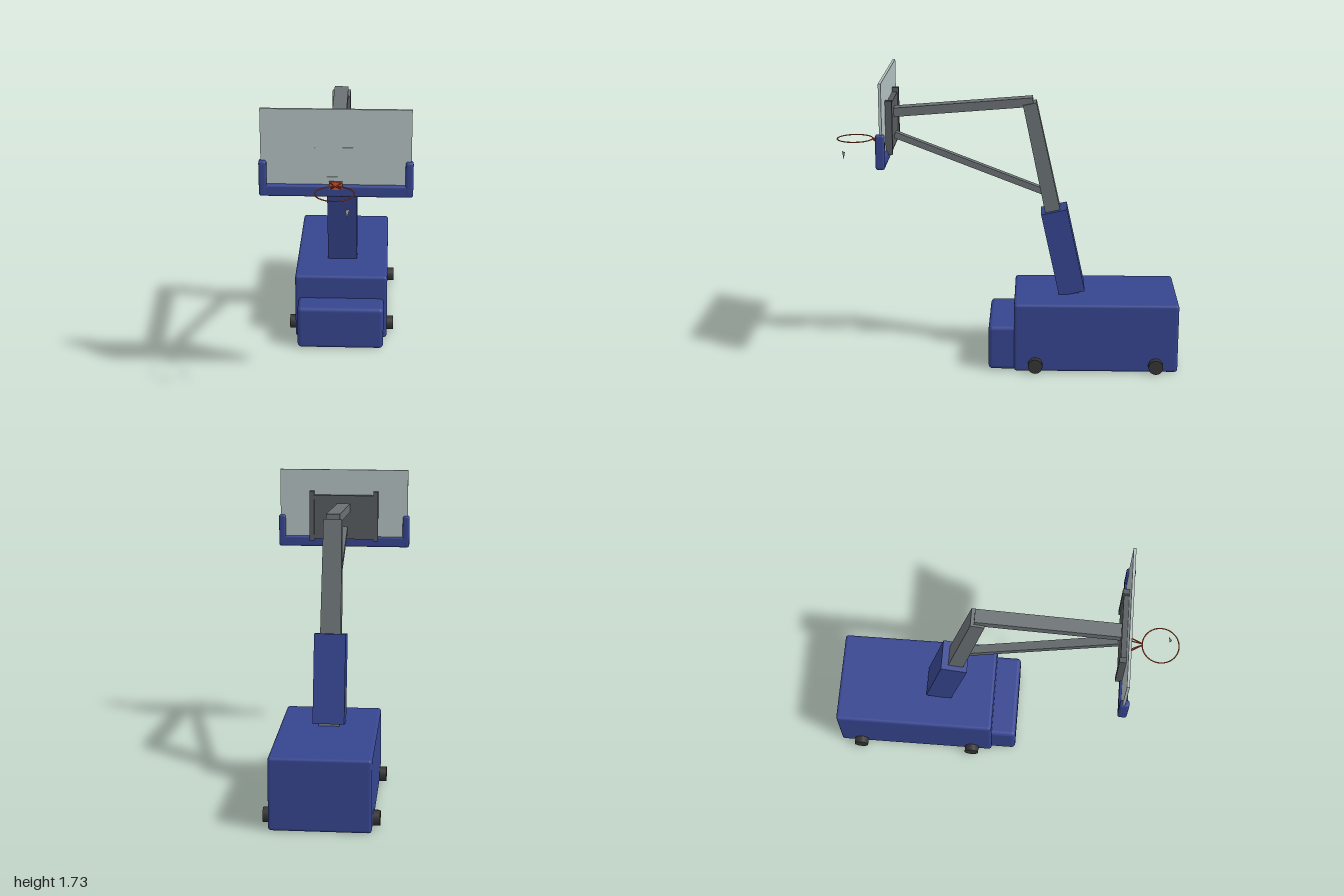
import * as THREE from 'three';
import { RoundedBoxGeometry } from 'three/addons/geometries/RoundedBoxGeometry.js';

const mat = (name, color, side = THREE.FrontSide) => {
  const m = new THREE.MeshStandardMaterial({ color, side });
  m.name = name;
  return m;
};

export function createModel() {
  const root = new THREE.Group();
  root.name = 'portableHoop';
  const blue = mat('blue padding', 0x36458f);
  const steel = mat('grey steel', 0x6a7073);
  const dark = mat('dark steel', 0x565b5e);
  const glass = mat('pale glass', 0xb2bfbf);
  const orange = mat('orange rim', 0xc8502c, THREE.DoubleSide);
  const rubber = mat('black rubber', 0x343434);
  const cord = mat('net cord', 0x9a9a9a, THREE.DoubleSide);

  const add = (name, geo, material, x = 0, y = 0, z = 0) => {
    const m = new THREE.Mesh(geo, material);
    m.name = name;
    m.position.set(x, y, z);
    root.add(m);
    return m;
  };
  // Box given by its extents, rounded when r > 0
  const box = (name, material, [x0, x1], [y0, y1], [z0, z1], r = 0) => {
    const s = [x1 - x0, y1 - y0, z1 - z0];
    const g = r ? new RoundedBoxGeometry(...s, 3, r) : new THREE.BoxGeometry(...s);
    return add(name, g, material, (x0 + x1) / 2, (y0 + y1) / 2, (z0 + z1) / 2);
  };
  // Square tube in the x = 0 plane between two [z, y] points, tapering from [w, d] to [w, d]
  const beam = (name, material, a, b, s0, s1 = s0) => {
    const dz = b[0] - a[0], dy = b[1] - a[1], len = Math.hypot(dz, dy);
    const g = new THREE.BoxGeometry(1, len, 1), p = g.attributes.position;
    for (let i = 0; i < p.count; i++) {
      const s = p.getY(i) < 0 ? s0 : s1;
      p.setX(i, p.getX(i) * s[0]);
      p.setZ(i, p.getZ(i) * s[1]);
    }
    g.computeVertexNormals();
    const m = add(name, g, material, 0, (a[1] + b[1]) / 2, (a[0] + b[0]) / 2);
    m.rotation.x = Math.atan2(dz, dy);
    return m;
  };

  // Weighted base with front pad and wheels
  box('base', blue, [-0.28, 0.28], [0, 0.415], [-1, -0.04], 0.018);
  box('frontPad', blue, [-0.26, 0.26], [0.002, 0.27], [-0.06, 0.11], 0.025);
  for (const x of [-0.3, 0.3]) for (const z of [-0.165, -0.87]) {
    add('wheel', new THREE.CylinderGeometry(0.043, 0.043, 0.04, 20), rubber, x, 0.045, z).rotation.z = Math.PI / 2;
  }

  // Leaning mast, its padding, and the two arms
  beam('mastFoot', steel, [-0.385, 0.38], [-0.265, 0.91], [0.12, 0.09]);
  beam('mastPad', blue, [-0.38, 0.42], [-0.27, 0.92], [0.18, 0.155]);
  beam('mast', steel, [-0.27, 0.88], [-0.125, 1.553], [0.12, 0.09], [0.105, 0.08]);
  beam('upperArm', steel, [-0.145, 1.562], [0.66, 1.498], [0.08, 0.052]);
  beam('lowerStrut', steel, [-0.21, 1.025], [0.66, 1.363], [0.05, 0.036]);

  // Mounting frame behind the board
  box('mountPlate', dark, [-0.2, 0.2], [1.3, 1.575], [0.66, 0.69]);
  for (const x of [-0.2, 0.2]) {
    box('mountPost', dark, [x - 0.015, x + 0.015], [1.29, 1.6], [0.652, 0.69]);
  }

  // Backboard, target outline and edge padding
  box('backboard', glass, [-0.4, 0.4], [1.25, 1.733], [0.69, 0.705]);
  for (const y of [1.355, 1.52]) box('targetLine', glass, [-0.11, 0.11], [y - 0.002, y + 0.002], [0.703, 0.707]);
  for (const x of [-0.11, 0.11]) box('targetLine', glass, [x - 0.002, x + 0.002], [1.355, 1.52], [0.703, 0.707]);
  box('bottomPad', blue, [-0.41, 0.41], [1.248, 1.313], [0.677, 0.728], 0.012);
  for (const s of [-1, 1]) {
    const x = s * 0.39;
    box('cornerPad', blue, [x - 0.021, x + 0.021], [1.25, 1.447], [0.676, 0.729], 0.014);
  }

  // Rim with its bracket
  add('rim', new THREE.TorusGeometry(0.103, 0.0035, 8, 48), orange, 0, 1.335, 0.893).rotation.x = Math.PI / 2;
  box('rimPlate', orange, [-0.036, 0.036], [1.293, 1.337], [0.72, 0.734]);
  const rod = (a, b) => {
    const path = new THREE.LineCurve3(new THREE.Vector3(...a), new THREE.Vector3(...b));
    add('rimBrace', new THREE.TubeGeometry(path, 1, 0.0035, 6), orange);
  };
  for (const s of [-1, 1]) {
    rod([s * 0.032, 1.334, 0.73], [s * 0.004, 1.335, 0.791]);
    rod([s * 0.03, 1.296, 0.73], [s * 0.004, 1.333, 0.791]);
  }

  // Small loose scrap of net
  const scrap = new THREE.BufferGeometry();
  scrap.setAttribute('position', new THREE.Float32BufferAttribute(
    [0.058, 1.272, 0.963, 0.082, 1.272, 0.943, 0.066, 1.225, 0.954], 3));
  scrap.computeVertexNormals();
  add('netScrap', scrap, cord);

  return root;
}
